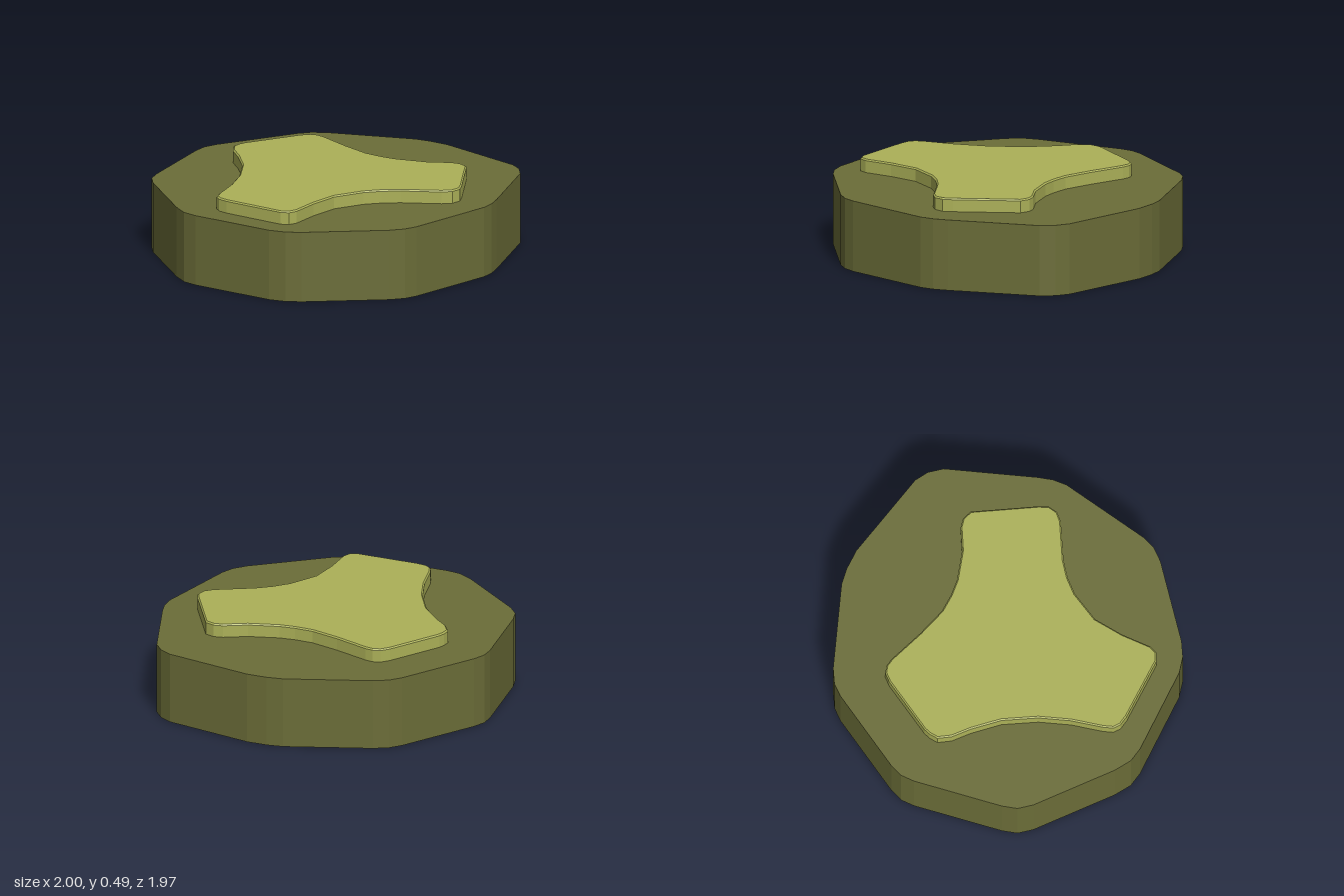
import * as THREE from 'three';

const oliveDark = new THREE.MeshStandardMaterial({ color: 0x6b6d38 });
oliveDark.name = 'dark olive';
const oliveLight = new THREE.MeshStandardMaterial({ color: 0xacb158 });
oliveLight.name = 'light olive';

// Extrudes an outline of [x, z] points upward from y = bottom to y = top
function slab(name, outline, bottom, top, material, bevel = 0) {
  const shape = new THREE.Shape(outline.map(([x, z]) => new THREE.Vector2(x, -z)));
  const geometry = new THREE.ExtrudeGeometry(shape, {
    depth: top - bottom - bevel,
    bevelEnabled: bevel > 0,
    bevelSize: bevel,
    bevelThickness: bevel,
    bevelOffset: -bevel,
    bevelSegments: 1,
  });
  geometry.rotateX(-Math.PI / 2);
  geometry.translate(0, bottom, 0);
  const mesh = new THREE.Mesh(geometry, material);
  mesh.name = name;
  return mesh;
}

// Nine-sided base with rounded corners
const baseOutline = [
  [0, -0.985], [0.08, -0.97], [0.56, -0.8], [0.63, -0.76], [0.69, -0.69],
  [0.95, -0.25], [0.98, -0.16], [1, -0.04], [0.98, 0.5], [0.95, 0.58], [0.89, 0.65],
  [0.43, 0.92], [0.35, 0.96], [0.27, 0.98], [-0.27, 0.98], [-0.35, 0.965], [-0.43, 0.92],
  [-0.81, 0.6], [-0.87, 0.53], [-0.91, 0.44], [-1, -0.06], [-1, -0.15], [-0.96, -0.25],
  [-0.71, -0.69], [-0.65, -0.76], [-0.57, -0.8], [-0.08, -0.97],
];

// Three-lobed raised pad
const padOutline = [
  [0, -0.71], [0.04, -0.705], [0.37, -0.59], [0.42, -0.56], [0.44, -0.52], [0.44, -0.47],
  [0.4, -0.25], [0.38, -0.07], [0.395, 0.04], [0.42, 0.13], [0.5, 0.29], [0.59, 0.4],
  [0.61, 0.45], [0.6, 0.51], [0.31, 0.76], [0.26, 0.795], [0.2, 0.795], [0.15, 0.76],
  [0, 0.58], [-0.08, 0.51], [-0.17, 0.455], [-0.35, 0.4], [-0.53, 0.415], [-0.7, 0.45],
  [-0.75, 0.44], [-0.78, 0.4], [-0.84, 0.03], [-0.84, -0.03], [-0.82, -0.07], [-0.77, -0.1],
  [-0.6, -0.175], [-0.44, -0.27], [-0.28, -0.405], [-0.17, -0.55], [-0.11, -0.65], [-0.05, -0.705],
];

export function createModel() {
  const group = new THREE.Group();
  group.name = 'padded base';
  group.add(slab('base', baseOutline, 0, 0.41, oliveDark));
  group.add(slab('raisedPad', padOutline, 0.405, 0.487, oliveLight, 0.008));
  return group;
}
